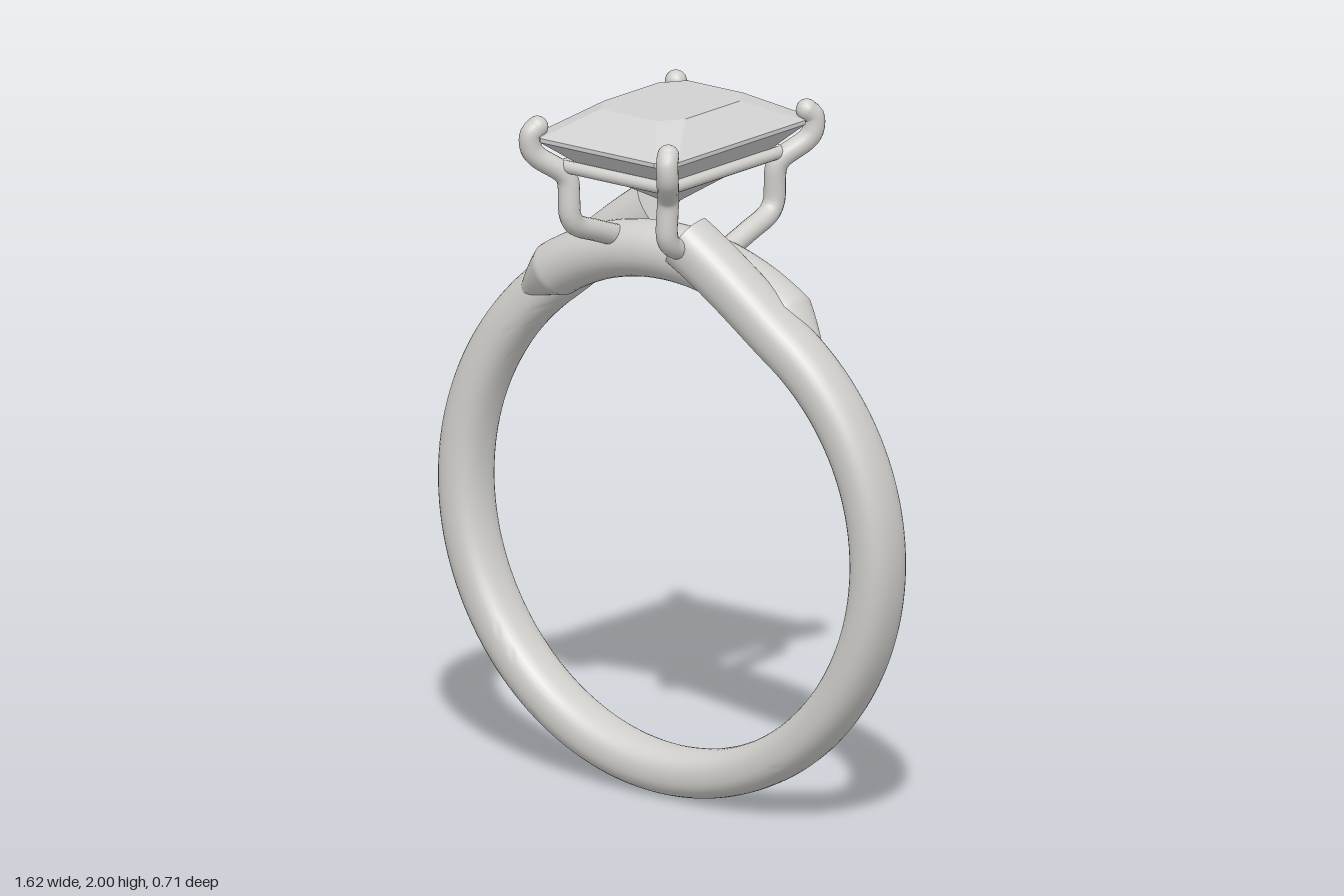
import * as THREE from 'three';
import { toCreasedNormals } from 'three/addons/utils/BufferGeometryUtils.js';

const V = (x, y, z) => new THREE.Vector3(x, y, z);
const RAD = Math.PI / 180;
const CENTRE_Y = 0.81;

// Sweep a soft-cornered oval along a path; size(u) gives [radial, sideways] half sizes.
function sweep(path, steps, size, power, sides = 32) {
  const pos = [], idx = [];
  const push = (p) => pos.push(p.x, p.y, p.z);
  const soft = (c) => Math.sign(c) * Math.pow(Math.abs(c), 2 / power);
  for (let i = 0; i <= steps; i++) {
    const u = i / steps, p = path(u);
    const tangent = path(u + 0.001).sub(path(u - 0.001)).normalize();
    const normal = V(tangent.y, -tangent.x, 0).normalize();
    const side = tangent.clone().cross(normal);
    const [a, b] = size(u);
    for (let j = 0; j < sides; j++) {
      const t = (j / sides) * Math.PI * 2;
      push(p.clone().addScaledVector(normal, a * soft(Math.cos(t))).addScaledVector(side, b * soft(Math.sin(t))));
    }
  }
  for (let i = 0; i < steps; i++) {
    for (let j = 0; j < sides; j++) {
      const k = (j + 1) % sides, r = i * sides, s = r + sides;
      idx.push(r + j, r + k, s + k, r + j, s + k, s + j);
    }
  }
  // flat end caps
  const first = pos.length / 3, last = steps * sides;
  push(path(0));
  push(path(1));
  for (let j = 0; j < sides; j++) {
    const k = (j + 1) % sides;
    idx.push(first, k, j, first + 1, last + j, last + k);
  }
  const geo = new THREE.BufferGeometry();
  geo.setAttribute('position', new THREE.Float32BufferAttribute(pos, 3));
  geo.setIndex(idx);
  return toCreasedNormals(geo, 0.7);
}

// Flat-faceted stone from stacked cut-corner rectangles [y, x, cutX, z, cutZ].
function facetedStone(layers) {
  const rings = layers.map(([y, x, cx, z, cz]) => [
    V(x, y, -cz), V(cx, y, -z), V(-cx, y, -z), V(-x, y, -cz),
    V(-x, y, cz), V(-cx, y, z), V(cx, y, z), V(x, y, cz),
  ]);
  const pts = [];
  const tri = (a, b, c) => {
    if (new THREE.Triangle(a, b, c).getArea() > 1e-8) pts.push(a, b, c);
  };
  for (let i = 0; i < rings.length - 1; i++) {
    for (let j = 0; j < 8; j++) {
      const k = (j + 1) % 8, lo = rings[i], hi = rings[i + 1];
      tri(lo[j], lo[k], hi[k]);
      tri(lo[j], hi[k], hi[j]);
    }
  }
  const geo = new THREE.BufferGeometry().setFromPoints(pts);
  geo.computeVertexNormals();
  return geo;
}

export function createModel() {
  const group = new THREE.Group();
  const metal = new THREE.MeshStandardMaterial({ color: 0xd0cfcb });
  metal.name = 'polished metal';
  const stone = new THREE.MeshStandardMaterial({ color: 0xd0d0d0 });
  stone.name = 'clear stone';
  const add = (name, geo, mat, parent = group) => {
    const mesh = new THREE.Mesh(geo, mat);
    mesh.name = name;
    parent.add(mesh);
    return mesh;
  };

  // Band: open loop whose ends rise and pass each other, one forward and one back
  const bandPath = (u) => {
    const around = (u * 2 - 1) * 170; // degrees from the bottom
    const fromTop = 180 - Math.abs(around);
    const lift = Math.max(0, (38 - fromTop) / 28);
    const drift = Math.max(0, (115 - fromTop) / 105);
    const r = 0.7425 + 0.11 * Math.pow(lift, 1.7);
    const a = around * RAD;
    return V(r * Math.sin(a), CENTRE_Y - r * Math.cos(a), Math.sign(around) * 0.12 * Math.pow(drift, 2.2));
  };
  const bandSize = (u) => {
    const e = Math.pow(Math.abs(u * 2 - 1), 6);
    return [0.0675 + 0.009 * e, 0.083 - 0.003 * e];
  };
  add('band', sweep(bandPath, 160, bandSize, 2.4), metal);

  // Bridge: short arc under the setting with tapered ends
  const bridgePath = (u) => {
    const a = (u * 2 - 1) * 43 * RAD;
    return V(0.755 * Math.sin(a), CENTRE_Y + 0.755 * Math.cos(a), 0);
  };
  const bridgeSize = (u) => {
    const angle = Math.abs(u * 2 - 1) * 43;
    const k = 1 - 0.7 * Math.max(0, (angle - 33) / 10);
    return [0.08 * k, 0.09 * k];
  };
  add('bridge', sweep(bridgePath, 86, bridgeSize, 2.1), metal);

  // Four prongs: foot on the bridge, upright, flare, and a claw over the stone corner
  const prongs = new THREE.Group();
  prongs.name = 'prongs';
  group.add(prongs);
  const prongPoints = [
    [0.165, 1.595, 0.05], [0.168, 1.625, 0.13], [0.172, 1.66, 0.215], [0.174, 1.69, 0.235],
    [0.18, 1.79, 0.238], [0.19, 1.815, 0.25], [0.235, 1.865, 0.307], [0.245, 1.89, 0.32],
    [0.245, 1.93, 0.322], [0.235, 1.95, 0.305],
  ];
  for (const sx of [1, -1]) {
    for (const sz of [1, -1]) {
      const pts = prongPoints.map(([x, y, z]) => V(x * sx, y, z * sz));
      const curve = new THREE.CatmullRomCurve3(pts, false, 'centripetal');
      add('prong', new THREE.TubeGeometry(curve, 60, 0.031, 16), metal, prongs);
      for (const end of [pts[0], pts[pts.length - 1]]) {
        add('prongEnd', new THREE.SphereGeometry(0.031, 16, 12), metal, prongs).position.copy(end);
      }
    }
  }

  // Rectangular gallery rail joining the prongs below the stone
  const rail = new THREE.Group();
  rail.name = 'galleryRail';
  group.add(rail);
  for (const s of [1, -1]) {
    const across = add('railAcross', new THREE.CylinderGeometry(0.018, 0.018, 0.38, 16), metal, rail);
    across.rotation.z = Math.PI / 2;
    across.position.set(0, 1.833, s * 0.25);
    const along = add('railAlong', new THREE.CylinderGeometry(0.018, 0.018, 0.5, 16), metal, rail);
    along.rotation.x = Math.PI / 2;
    along.position.set(s * 0.19, 1.833, 0);
  }

  // Step-cut stone: point, pavilion, girdle, crown, table
  add('stone', facetedStone([
    [1.7, 0, 0, 0, 0],
    [1.81, 0.15, 0.12, 0.19, 0.16],
    [1.915, 0.25, 0.205, 0.33, 0.28],
    [1.927, 0.25, 0.205, 0.33, 0.28],
    [2.0, 0.147, 0.1, 0.19, 0.12],
    [2.0, 0, 0, 0, 0],
  ]), stone);

  return group;
}
